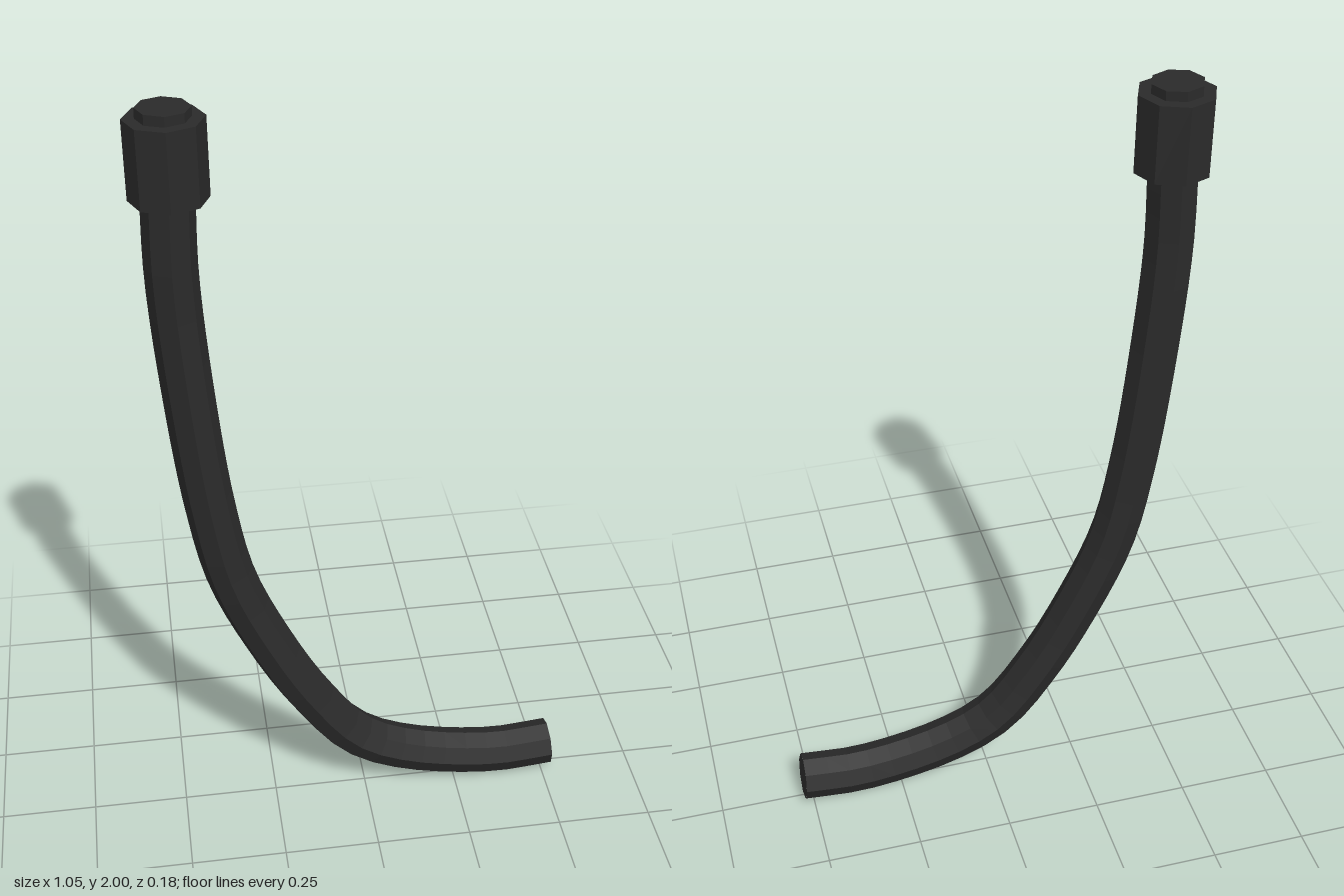
import * as THREE from 'three';

const RADIUS = 0.062;
const SIDES = 8;

export function createModel() {
  const group = new THREE.Group();
  const black = new THREE.MeshStandardMaterial({ color: 0x2a2a2a, flatShading: true });
  black.name = 'black rubber';

  const add = (name, geometry) => {
    const mesh = new THREE.Mesh(geometry, black);
    mesh.name = name;
    group.add(mesh);
    return mesh;
  };

  // Centre line of the bent hose, from the top down to the outlet
  const path = new THREE.CatmullRomCurve3([
    [-0.435, 2], [-0.438, 1.8], [-0.441, 1.606], [-0.423, 1.315], [-0.386, 0.97],
    [-0.341, 0.743], [-0.249, 0.521], [-0.151, 0.341], [-0.03, 0.183],
    [0.106, 0.11], [0.352, 0.063], [0.522, 0.074],
  ].map(([x, y]) => new THREE.Vector3(x, y, 0)));
  add('hose', new THREE.TubeGeometry(path, 40, RADIUS, SIDES, false));

  // Flat caps facing outward at both ends
  const facing = new THREE.Vector3(0, 0, 1);
  [['topCap', 0, -1], ['outletCap', 1, 1]].forEach(([name, t, sign]) => {
    const cap = add(name, new THREE.CircleGeometry(RADIUS, SIDES));
    cap.position.copy(path.getPointAt(t));
    cap.quaternion.setFromUnitVectors(facing, path.getTangentAt(t).multiplyScalar(sign));
  });

  // Octagonal collar around the top
  const collar = add('collar', new THREE.CylinderGeometry(0.092, 0.092, 0.187, SIDES));
  collar.position.set(-0.435, 1.883, 0);

  return group;
}
